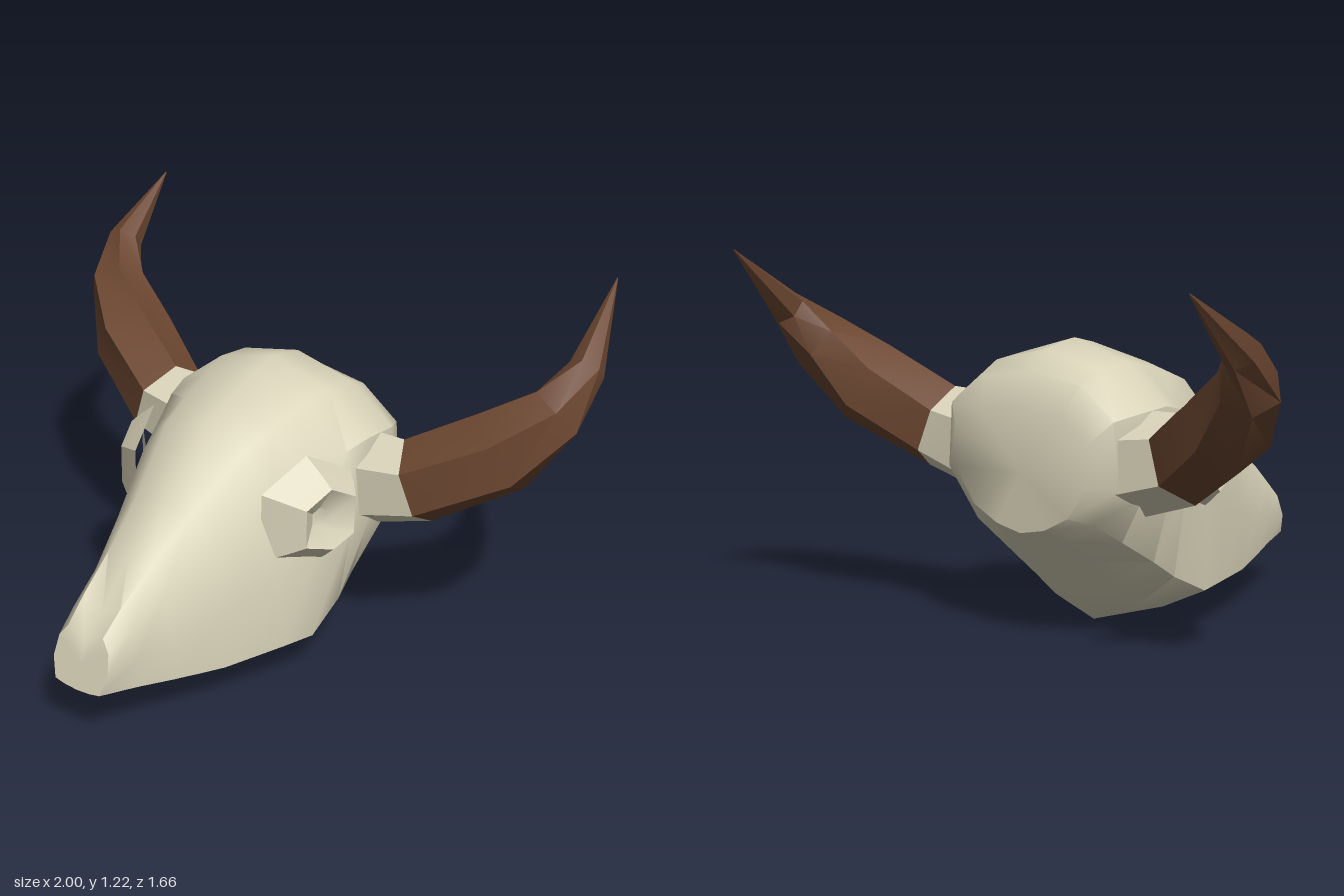
import * as THREE from 'three';
import { toCreasedNormals } from 'three/addons/utils/BufferGeometryUtils.js';

const CX = 0.02; // middle plane of the skull
const V = (x, y, z) => new THREE.Vector3(x, y, z);

// Skin a list of equal-sized rings; rings run clockwise seen along the travel
function loft(rings, capStart, capEnd, crease) {
  const n = rings[0].length;
  const pos = [];
  const tri = (...pts) => pts.forEach((p) => pos.push(p.x, p.y, p.z));
  for (let s = 0; s < rings.length - 1; s++) {
    for (let i = 0; i < n; i++) {
      const j = (i + 1) % n;
      const a = rings[s][i], b = rings[s][j], c = rings[s + 1][i], d = rings[s + 1][j];
      tri(a, b, c);
      tri(b, d, c);
    }
  }
  const cap = (ring, flip) => {
    const mid = ring.reduce((m, p) => m.add(p), V(0, 0, 0)).divideScalar(n);
    ring.forEach((p, i) => {
      const q = ring[(i + 1) % n];
      if (flip) tri(mid, q, p);
      else tri(mid, p, q);
    });
  };
  if (capStart) cap(rings[0], true);
  if (capEnd) cap(rings[rings.length - 1], false);
  const geo = new THREE.BufferGeometry();
  geo.setAttribute('position', new THREE.Float32BufferAttribute(pos, 3));
  return toCreasedNormals(geo, crease);
}

// Half sections, nose to back: z, crown y, then brow, temple, cheek, jaw, under (x, y), base y
const SECTIONS = [
  [0.78, 0.32, 0.07, 0.35, 0.1, 0.31, 0.11, 0.24, 0.09, 0.175, 0.05, 0.168, 0.165],
  [0.7, 0.385, 0.075, 0.42, 0.12, 0.36, 0.135, 0.26, 0.13, 0.16, 0.07, 0.14, 0.125],
  [0.57, 0.525, 0.085, 0.51, 0.14, 0.43, 0.18, 0.28, 0.18, 0.145, 0.09, 0.1, 0.08],
  [0.4, 0.655, 0.11, 0.63, 0.19, 0.53, 0.24, 0.33, 0.245, 0.13, 0.13, 0.06, 0.02],
  [0.19, 0.835, 0.16, 0.79, 0.26, 0.66, 0.32, 0.4, 0.325, 0.14, 0.17, 0.06, 0.015],
  [0.07, 0.875, 0.18, 0.83, 0.3, 0.7, 0.36, 0.45, 0.345, 0.13, 0.17, 0.05, 0],
  [-0.08, 0.925, 0.2, 0.87, 0.36, 0.74, 0.39, 0.5, 0.34, 0.2, 0.17, 0.07, 0.01],
  [-0.17, 0.947, 0.22, 0.885, 0.38, 0.76, 0.4, 0.5, 0.33, 0.26, 0.17, 0.15, 0.105],
  [-0.3, 0.92, 0.22, 0.87, 0.38, 0.75, 0.4, 0.5, 0.31, 0.34, 0.16, 0.26, 0.225],
  [-0.38, 0.86, 0.21, 0.83, 0.345, 0.73, 0.36, 0.52, 0.26, 0.4, 0.13, 0.33, 0.31],
  [-0.43, 0.75, 0.17, 0.73, 0.28, 0.66, 0.28, 0.53, 0.2, 0.42, 0.1, 0.37, 0.35],
];

function skullRing(sec, index) {
  const half = [];
  for (let k = 2; k < 12; k += 2) half.push([sec[k], sec[k + 1]]);
  const outline = [
    [0, sec[1]], ...half, [0, sec[12]],
    ...half.slice().reverse().map(([x, y]) => [-x, y]),
  ];
  // the nose end leans forward at its lower lip
  const lean = index === 0 ? 0.27 : 0;
  return outline.map(([x, y]) => V(CX + x, y, sec[0] + (0.35 - y) * lean));
}

// Horn paths: x, y, z, radius; the first two stations form the bony core
const HORNS = {
  left: [
    [0.34, 0.585, -0.24, 0.17], [0.54, 0.62, -0.25, 0.145], [0.78, 0.755, -0.355, 0.148],
    [0.915, 0.895, -0.45, 0.105], [0.95, 1.01, -0.56, 0.062], [0.89, 1.22, -0.83, 0.002],
  ],
  right: [
    [-0.3, 0.585, -0.24, 0.17], [-0.5, 0.62, -0.25, 0.145], [-0.74, 0.755, -0.355, 0.148],
    [-0.89, 0.895, -0.45, 0.105], [-0.945, 1.01, -0.56, 0.062], [-0.96, 1.19, -0.81, 0.002],
  ],
};

// Six-sided rings set square to the path
function hornRings(path) {
  const c = path.map((p) => V(p[0], p[1], p[2]));
  return path.map((p, s) => {
    const next = c[Math.min(s + 1, c.length - 1)], prev = c[Math.max(s - 1, 0)];
    const d = next.clone().sub(prev).normalize();
    const u = V(0, 1, 0).addScaledVector(d, -d.y).normalize();
    const v = d.clone().cross(u);
    return Array.from({ length: 6 }, (_, i) => {
      const a = (i * Math.PI) / 3;
      return c[s].clone()
        .addScaledVector(u, Math.cos(a) * p[3])
        .addScaledVector(v, Math.sin(a) * p[3] * 0.95);
    });
  });
}

// Eye socket rim in side view: z, y
const SOCKET = [[0.07, 0.68], [0.16, 0.63], [0.16, 0.5], [0.06, 0.465], [-0.015, 0.5], [-0.02, 0.63]];

function socketRings(side) {
  const outline = side > 0 ? SOCKET : SOCKET.slice().reverse();
  const ring = (scale, depth) => outline.map(([z, y]) => {
    const zz = 0.07 + (z - 0.07) * scale;
    const yy = 0.57 + (y - 0.57) * scale;
    return V(CX + side * (0.433 - 0.33 * zz - depth), yy, zz);
  });
  return [ring(1.8, 0.1), ring(1.35, 0.04), ring(1, 0), ring(0.3, 0.045)];
}

export function createModel() {
  const group = new THREE.Group();
  const bone = new THREE.MeshStandardMaterial({ color: 0xd9d3b9 });
  const horn = new THREE.MeshStandardMaterial({ color: 0x6b4630 });
  const add = (name, geo, mat) => {
    const mesh = new THREE.Mesh(geo, mat);
    mesh.name = name;
    group.add(mesh);
  };

  add('skull', loft(SECTIONS.map(skullRing), true, true, 0.75), bone);

  for (const [name, side] of [['left', 1], ['right', -1]]) {
    const rings = hornRings(HORNS[name]);
    add(name + 'HornCore', loft(rings.slice(0, 2), false, false, 0.5), bone);
    add(name + 'Horn', loft(rings.slice(1), false, true, 0.5), horn);
    add(name + 'EyeSocket', loft(socketRings(side), false, true, 0.6), bone);
  }
  return group;
}
